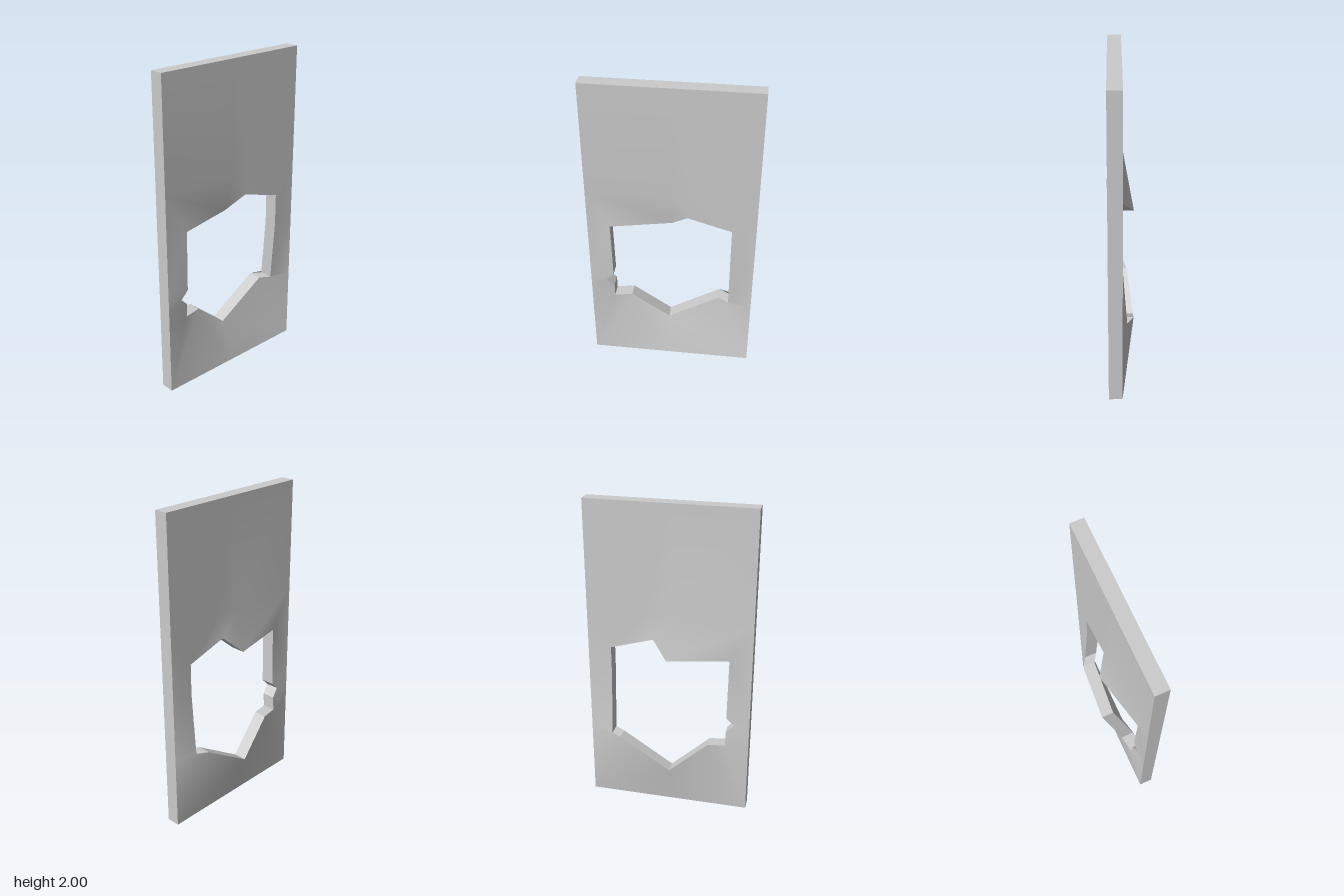
import * as THREE from 'three';

const FRONT_X = 0.075, BACK_X = -0.01, HALF = 0.517, TOP = 2;

// Broken hole, clockwise from +x: [z, y, sideways bend, z and y of the matching point on the undamaged surround]
const RING = [
  [0.375, 1.05, 0.01, HALF, 1.3],
  [0, 1.05, -0.075, 0, 1.3],
  [-0.1, 1.15, 0, -0.15, 1.3],
  [-0.37, 1.07, 0, -HALF, 1.3],
  [-0.37, 0.87, 0, -HALF, 0.87],
  [-0.37, 0.47, -0.03, -HALF, 0.47],
  [-0.305, 0.47, -0.07, -HALF, 0],
  [0.02, 0.265, -0.075, 0.02, 0],
  [0.26, 0.47, -0.035, HALF, 0],
  [0.37, 0.47, -0.015, HALF, 0.47],
  [0.37, 0.56, -0.01, HALF, 0.56],
  [0.42, 0.61, 0, HALF, 0.61],
  [0.37, 0.66, 0, HALF, 0.66],
];
const N = RING.length;

function makeGeometry(positions, index) {
  const g = new THREE.BufferGeometry();
  g.setAttribute('position', new THREE.Float32BufferAttribute(positions, 3));
  if (index) g.setIndex(index);
  g.computeVertexNormals();
  return g;
}

// One broad face: a ring of quads round the hole plus the plain upper strip
function sheet(x, flip) {
  const pos = [], idx = [];
  const quad = (a, b, c, d) => {
    if (flip) idx.push(a, d, b, b, d, c);
    else idx.push(a, b, d, b, c, d);
  };
  RING.forEach(([z, y, bend]) => pos.push(x + bend, y, z));
  RING.forEach(([, , , z, y]) => pos.push(x, y, z));
  for (let i = 0; i < 4; i++) pos.push(x, TOP, RING[i][3]);
  for (let i = 0; i < N; i++) {
    const j = (i + 1) % N;
    quad(i, j, N + j, N + i);
  }
  for (let i = 0; i < 3; i++) quad(N + i, N + i + 1, 2 * N + i + 1, 2 * N + i);
  return makeGeometry(pos, idx);
}

// Flat walls joining the two broad faces along a closed loop of [z, y, bend]
function walls(loop, inward) {
  const pos = [];
  loop.forEach((p, i) => {
    const q = loop[(i + 1) % loop.length];
    const at = ([z, y, bend], x) => [x + bend, y, z];
    const a = at(p, FRONT_X), b = at(p, BACK_X), c = at(q, BACK_X), d = at(q, FRONT_X);
    const tris = inward ? [a, b, c, a, c, d] : [a, d, c, a, c, b];
    pos.push(...tris.flat());
  });
  return makeGeometry(pos);
}

export function createModel() {
  const group = new THREE.Group();
  group.name = 'brokenDoor';
  const material = new THREE.MeshStandardMaterial({ color: 0xcccccc });
  const add = (name, geometry) => {
    const mesh = new THREE.Mesh(geometry, material);
    mesh.name = name;
    group.add(mesh);
  };
  add('leftFace', sheet(FRONT_X, false));
  add('rightFace', sheet(BACK_X, true));
  add('holeEdge', walls(RING, true));
  add('outerEdge', walls([[HALF, TOP, 0], [-HALF, TOP, 0], [-HALF, 0, 0], [HALF, 0, 0]], false));
  return group;
}
